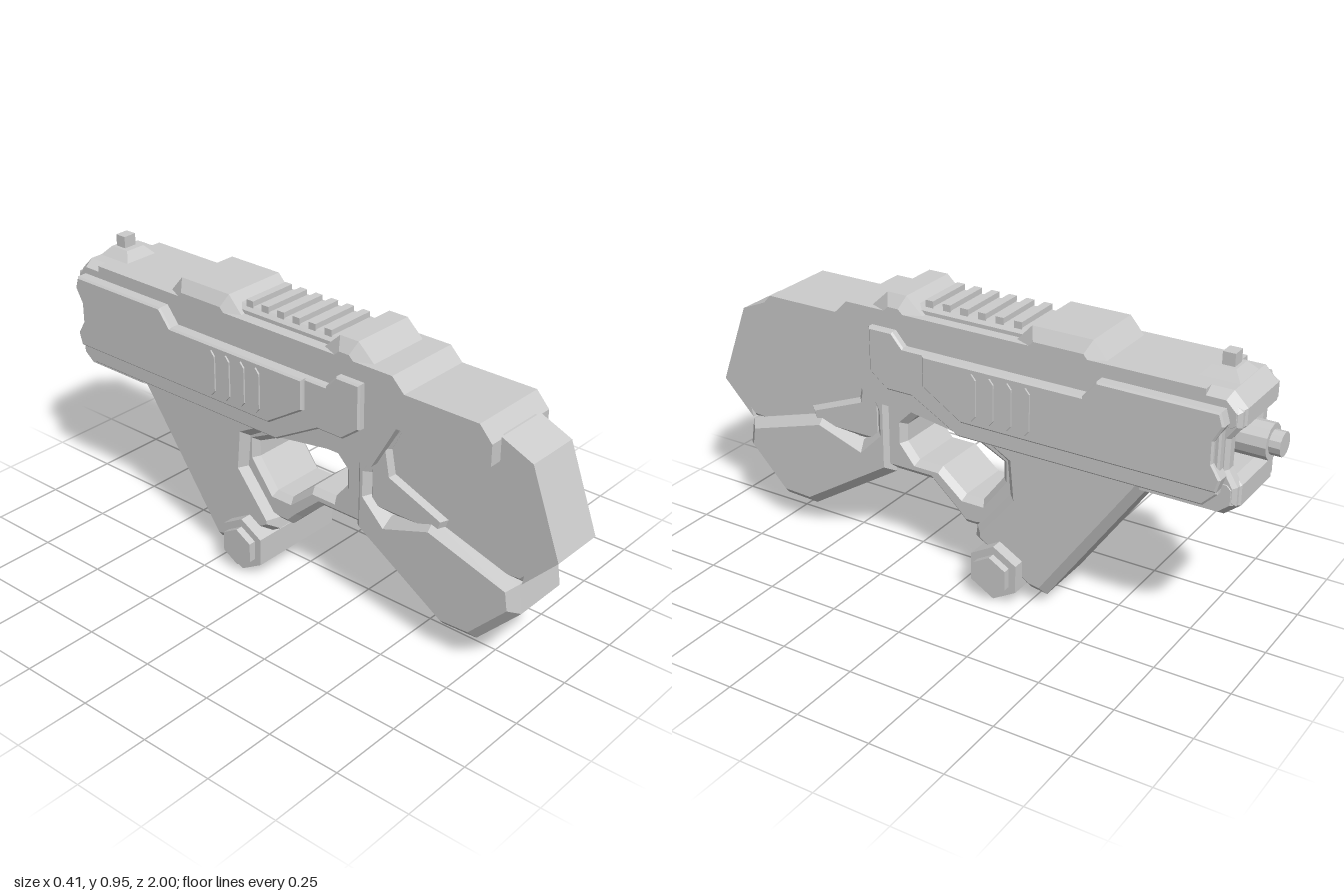
import * as THREE from 'three';

const mat = new THREE.MeshStandardMaterial({ color: 0xcccccc, flatShading: true });

// Side profile of [z, y] points, extruded across x between x - half and x + half.
// The chamfer eats inward: "size" in the profile plane, "thick" across x.
function slab(name, pts, half, { x = 0, size = 0, thick = size, hole } = {}) {
  const toVec = (p) => new THREE.Vector2(p[0], p[1]);
  const shape = new THREE.Shape(pts.map(toVec));
  if (hole) shape.holes.push(new THREE.Path(hole.map(toVec)));
  const depth = 2 * (half - thick);
  const geo = new THREE.ExtrudeGeometry(shape, {
    depth, bevelEnabled: size > 0, bevelSize: size, bevelThickness: thick, bevelOffset: -size, bevelSegments: 1,
  });
  geo.translate(0, 0, -depth / 2);
  geo.rotateY(-Math.PI / 2);
  const mesh = new THREE.Mesh(geo, mat);
  mesh.name = name;
  mesh.position.x = x;
  return mesh;
}

function place(name, geo, x, y, z) {
  const mesh = new THREE.Mesh(geo, mat);
  mesh.name = name;
  mesh.position.set(x, y, z);
  return mesh;
}

export function createModel() {
  const model = new THREE.Group();
  model.name = 'blaster';

  // Main receiver
  model.add(slab('receiver', [
    [0.785, 0.72], [0.785, 0.79], [0.74, 0.84], [0.475, 0.84], [0.43, 0.885], [-0.81, 0.885],
    [-0.81, 0.53], [0, 0.53], [0.19, 0.56], [0.36, 0.56], [0.45, 0.72],
  ], 0.14));

  // Open shoulder loop
  model.add(slab('stockLoop', [
    [1, 0.47], [0.895, 0.75], [0.785, 0.797], [0.4, 0.797], [0.36, 0.4], [0.6, 0.33], [0.885, 0.35],
  ], 0.096, {
    size: 0.018,
    hole: [[0.8, 0.705], [0.46, 0.705], [0.415, 0.62], [0.435, 0.545], [0.605, 0.47], [0.67, 0.52], [0.86, 0.52]],
  }));
  // Rear face of the loop stays full width
  model.add(slab('stockBar', [
    [1, 0.47], [0.895, 0.75], [0.785, 0.797], [0.785, 0.72], [0.915, 0.49], [0.885, 0.35],
  ], 0.096));

  // Rear grip, rising in front of the loop to the receiver
  model.add(slab('rearGrip', [
    [0.895, 0.255], [0.88, 0.35], [0.57, 0.445], [0.41, 0.39], [0.35, 0.45], [0.35, 0.52], [0.445, 0.71],
    [0.38, 0.74], [0.28, 0.6], [0.28, 0.31], [0.62, 0.095], [0.745, 0.1],
  ], 0.13, { size: 0.03 }));
  // Inner frame between grip and loop opening
  model.add(slab('gripFrame', [
    [0.62, 0.46], [0.42, 0.54], [0.405, 0.62], [0.45, 0.71], [0.33, 0.71], [0.33, 0.4], [0.6, 0.4],
  ], 0.112, { size: 0.015 }));

  // Trigger guard
  model.add(slab('triggerGuard', [
    [0.32, 0.58], [0.32, 0.32], [0.14, 0.32], [0.05, 0.24], [0.01, 0.2], [-0.04, 0.2], [-0.22, 0.24], [-0.22, 0.58],
  ], 0.115, {
    size: 0.02,
    hole: [[0.19, 0.535], [0.035, 0.535], [-0.13, 0.455], [-0.13, 0.4], [-0.055, 0.3], [0.01, 0.3],
      [0.1, 0.375], [0.19, 0.375], [0.235, 0.43], [0.235, 0.49]],
  }));

  // Slanted front grip
  model.add(slab('frontGrip', [
    [0, 0.56], [-0.15, 0.47], [-0.16, 0.36], [-0.04, 0.21], [-0.035, 0.17], [-0.24, 0.045], [-0.3, 0.035],
    [-0.64, 0.52], [-0.64, 0.6], [0, 0.6],
  ], 0.14, { size: 0.03 }));

  // Hexagonal cross peg with end caps
  for (const [name, r, len] of [['crossPeg', 0.095, 0.36], ['crossPegCaps', 0.067, 0.41]]) {
    const geo = new THREE.CylinderGeometry(r, r, len, 6);
    geo.rotateY(Math.PI / 2);
    geo.rotateZ(Math.PI / 2);
    model.add(place(name, geo, 0, 0.098, -0.142));
  }

  // Muzzle frame around a recess
  model.add(slab('muzzleTop', [
    [-0.78, 0.885], [-0.88, 0.885], [-0.925, 0.84], [-0.925, 0.785], [-0.9, 0.765], [-0.78, 0.765],
  ], 0.14, { size: 0.02, thick: 0.035 }));
  model.add(slab('muzzleBottom', [
    [-0.6, 0.56], [-0.6, 0.495], [-0.875, 0.495], [-0.925, 0.535], [-0.925, 0.6], [-0.9, 0.625], [-0.8, 0.625], [-0.8, 0.56],
  ], 0.14, { size: 0.02, thick: 0.035 }));
  for (const s of [-1, 1]) {
    model.add(slab('muzzleCheek', [
      [-0.78, 0.86], [-0.88, 0.86], [-0.92, 0.835], [-0.92, 0.785], [-0.89, 0.745], [-0.89, 0.65], [-0.92, 0.6],
      [-0.92, 0.54], [-0.78, 0.54],
    ], 0.026, { x: s * 0.112, size: 0.012 }));
  }

  // Barrel and tip
  for (const [name, r, z0, z1] of [['barrel', 0.056, -0.78, -0.965], ['barrelTip', 0.038, -0.95, -1]]) {
    const geo = new THREE.CylinderGeometry(r, r, z0 - z1, 12);
    geo.rotateX(Math.PI / 2);
    model.add(place(name, geo, 0, 0.705, (z0 + z1) / 2));
  }

  // Layered side panels with vents
  for (const s of [-1, 1]) {
    model.add(slab('lowerSidePanel', [
      [0.33, 0.83], [0.24, 0.83], [0.2, 0.785], [-0.44, 0.785], [-0.485, 0.825], [-0.875, 0.825],
      [-0.875, 0.58], [-0.83, 0.535], [0, 0.535], [0.17, 0.63], [0.265, 0.63], [0.33, 0.68],
    ], 0.0225, { x: s * 0.1425, size: 0.006 }));
    model.add(slab('upperSidePanel', [
      [0.12, 0.785], [-0.44, 0.785], [-0.485, 0.842], [-0.875, 0.842], [-0.888, 0.8], [-0.86, 0.75], [-0.86, 0.68],
      [-0.888, 0.635], [-0.875, 0.592], [-0.02, 0.592], [0.12, 0.68],
    ], 0.025, { x: s * 0.155, size: 0.006 }));
    for (let i = 0; i < 4; i++) {
      const z = -0.065 - i * 0.063;
      model.add(slab('sideVent', [
        [z + 0.015, 0.63], [z + 0.015, 0.75], [z, 0.768], [z - 0.015, 0.75], [z - 0.015, 0.63], [z, 0.612],
      ], 0.01, { x: s * 0.176 }));
    }
  }

  // Raised top blocks, with a ribbed rail between
  model.add(slab('rearTopBlock', [
    [0.36, 0.82], [0.36, 0.87], [0.285, 0.94], [0.215, 0.94], [0.14, 0.87], [0.14, 0.82],
  ], 0.14, { size: 0.04, thick: 0.025 }));
  model.add(slab('frontTopBlock', [
    [-0.17, 0.82], [-0.17, 0.87], [-0.235, 0.94], [-0.44, 0.94], [-0.5, 0.87], [-0.5, 0.82],
  ], 0.14, { size: 0.04, thick: 0.025 }));
  model.add(slab('topRail', [
    [0.21, 0.86], [0.2, 0.912], [-0.22, 0.912], [-0.23, 0.86],
  ], 0.1, { size: 0.015 }));
  for (let i = 0; i < 6; i++) {
    model.add(place('railRib', new THREE.BoxGeometry(0.18, 0.03, 0.028), 0, 0.915, 0.147 - i * 0.0635));
  }

  // Front sight: tapered foot and post
  const foot = new THREE.CylinderGeometry(0.052, 0.09, 0.03, 4);
  foot.rotateY(Math.PI / 4);
  model.add(place('sightFoot', foot, 0, 0.9, -0.815));
  model.add(place('sightPost', new THREE.BoxGeometry(0.048, 0.06, 0.04), 0, 0.925, -0.822));

  return model;
}
